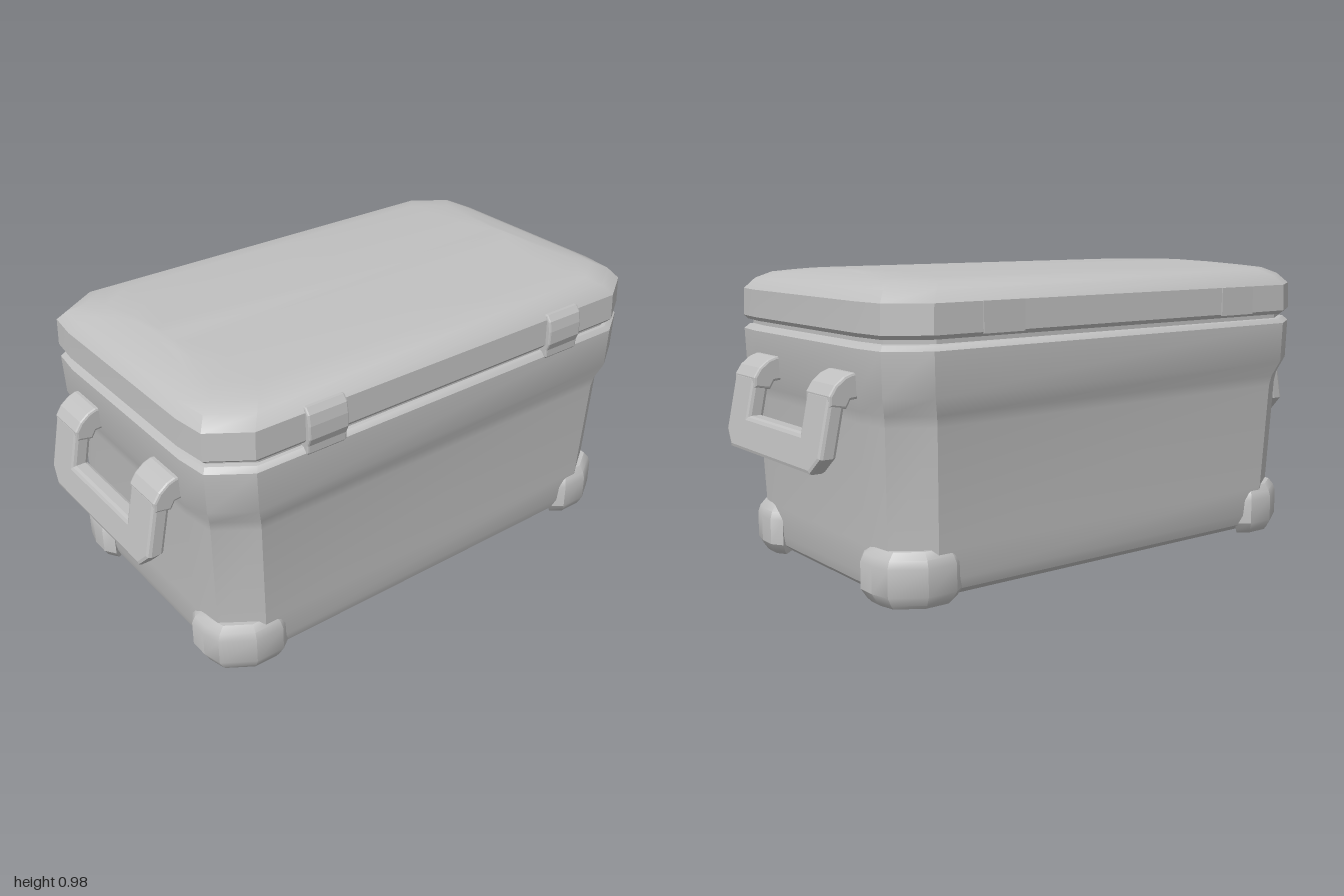
import * as THREE from 'three';
import { toCreasedNormals } from 'three/addons/utils/BufferGeometryUtils.js';

const CZ = -0.008; // the body sits slightly behind centre, the latches stand in front
const QUADRANTS = [[1, 1], [-1, 1], [-1, -1], [1, -1]];

// Closed skin through rings listed from bottom to top
function loft(rings) {
  const n = rings[0].length, pos = [], idx = [];
  rings.forEach(r => r.forEach(p => pos.push(...p)));
  for (let i = 0; i < rings.length - 1; i++) {
    for (let j = 0; j < n; j++) {
      const k = (j + 1) % n;
      const a = i * n + j, b = i * n + k, c = a + n, d = b + n;
      idx.push(a, c, b, b, c, d);
    }
  }
  const top = (rings.length - 1) * n;
  for (let j = 1; j < n - 1; j++) {
    idx.push(0, j, j + 1);
    idx.push(top, top + j + 1, top + j);
  }
  const g = new THREE.BufferGeometry();
  g.setAttribute('position', new THREE.Float32BufferAttribute(pos, 3));
  g.setIndex(idx);
  return toCreasedNormals(g, 0.5);
}

// Rectangle with broad two-facet corners; s scales the corner size
function ring(y, hx, hz, s = 1) {
  const corner = [[hx, hz - 0.2 * s], [hx - 0.014 * s, hz - 0.085 * s], [hx - 0.138 * s, hz]];
  return QUADRANTS.flatMap(([sx, sz]) => {
    const pts = corner.map(([x, z]) => [x * sx, y, z * sz + CZ]);
    return sx * sz > 0 ? pts : pts.reverse();
  });
}

// Side profile in x and y, extruded along z and centred on it
function slab(points, width, bevel) {
  const g = new THREE.ExtrudeGeometry(new THREE.Shape(points.map(p => new THREE.Vector2(...p))), {
    depth: width - 2 * bevel, bevelThickness: bevel, bevelSize: bevel, bevelOffset: -bevel, bevelSegments: 2,
  });
  g.translate(0, 0, bevel - width / 2);
  return g;
}

export function createModel() {
  const model = new THREE.Group();
  const grey = new THREE.MeshStandardMaterial({ color: 0xc0c0c0 });
  grey.name = 'grey plastic';
  const add = (name, geometry, parent = model) => {
    const mesh = new THREE.Mesh(geometry, grey);
    mesh.name = name;
    parent.add(mesh);
    return mesh;
  };

  // Tub with tapered walls and a thicker rim
  add('body', loft([
    ring(0.012, 0.79, 0.44, 0.85),
    ring(0.035, 0.815, 0.47, 0.9),
    ring(0.07, 0.825, 0.482, 0.95),
    ring(0.17, 0.833, 0.488),
    ring(0.54, 0.845, 0.506),
    ring(0.575, 0.85, 0.512),
    ring(0.63, 0.868, 0.534),
    ring(0.765, 0.872, 0.537),
    ring(0.78, 0.86, 0.524),
    ring(0.785, 0.84, 0.505),
  ]));
  add('seal', loft([ring(0.775, 0.85, 0.514), ring(0.81, 0.85, 0.514)]));

  // Lid with bevelled shoulders and a slight crown
  add('lid', loft([
    ring(0.795, 0.845, 0.508),
    ring(0.797, 0.862, 0.526),
    ring(0.81, 0.873, 0.537),
    ring(0.9, 0.87, 0.535),
    ring(0.935, 0.842, 0.505),
    ring(0.956, 0.795, 0.462, 0.9),
    ring(0.964, 0.75, 0.4, 0.9),
    ring(0.972, 0.72, 0.25, 0.7),
    ring(0.976, 0.7, 0.08, 0.3),
  ]));

  // Corner feet: outer outline, pulled inwards at top and bottom
  const outline = [[0.83, 0.265], [0.856, 0.305], [0.856, 0.37], [0.84, 0.435],
    [0.74, 0.5], [0.64, 0.5], [0.595, 0.465]];
  const levels = [[0, 0.8], [0.012, 0.88], [0.04, 1], [0.125, 1], [0.15, 0.93], [0.172, 0.78]];
  QUADRANTS.forEach(([sx, sz]) => {
    add('foot', loft(levels.map(([y, s]) => {
      const pts = outline.map(([x, z]) =>
        [sx * (0.72 + (x - 0.72) * s), y, sz * (0.39 + (z - 0.39) * s) + CZ]);
      return sx * sz > 0 ? pts : pts.reverse();
    })));
  });

  // Front latches hooked over the lid seam
  [-0.49, 0.485].forEach(x => {
    const latch = add('latch', slab([
      [-0.5, 0.755], [-0.522, 0.75], [-0.535, 0.765], [-0.536, 0.79],
      [-0.546, 0.815], [-0.546, 0.86], [-0.54, 0.895], [-0.525, 0.915], [-0.5, 0.915],
    ], 0.144, 0.006));
    latch.rotation.y = Math.PI / 2;
    latch.position.x = x;
  });

  // Flat hinge covers on the back of the lid
  [-0.495, 0.49].forEach(x => {
    const hinge = add('hinge', new THREE.BoxGeometry(0.15, 0.095, 0.008));
    hinge.position.set(x, 0.853, -0.5435);
  });

  // Handle: U-shaped grip leaning outwards
  const grip = new THREE.Shape();
  [[-0.323, 0.64], [-0.323, 0.45], [-0.273, 0.4], [0.273, 0.4], [0.323, 0.45], [0.323, 0.64],
    [0.18, 0.64], [0.18, 0.51], [-0.18, 0.51], [-0.18, 0.64]]
    .forEach(([u, v], i) => (i ? grip.lineTo(u, v) : grip.moveTo(u, v)));
  const gripGeometry = new THREE.ExtrudeGeometry(grip, {
    depth: 0.032, bevelThickness: 0.013, bevelSize: 0.013, bevelOffset: -0.013, bevelSegments: 2,
  });
  gripGeometry.translate(0, 0, 0.013).rotateY(Math.PI / 2);
  const p = gripGeometry.attributes.position;
  for (let i = 0; i < p.count; i++) p.setX(i, p.getX(i) + 0.899 + (0.62 - p.getY(i)) * 0.21);
  gripGeometry.computeVertexNormals();

  // Arm that carries the grip out from the rim
  const armGeometry = slab([[0.83, 0.62], [0.885, 0.615], [0.9, 0.59], [0.955, 0.6],
    [0.955, 0.632], [0.935, 0.662], [0.905, 0.685], [0.88, 0.694], [0.83, 0.694]], 0.15, 0.008);

  [0, Math.PI].forEach((turn, i) => {
    const handle = new THREE.Group();
    handle.name = i ? 'rightHandle' : 'leftHandle';
    handle.position.z = -0.01;
    handle.rotation.y = turn;
    add('grip', gripGeometry, handle);
    [-1, 1].forEach(s => { add('handleArm', armGeometry, handle).position.z = s * 0.25; });
    model.add(handle);
  });

  return model;
}
